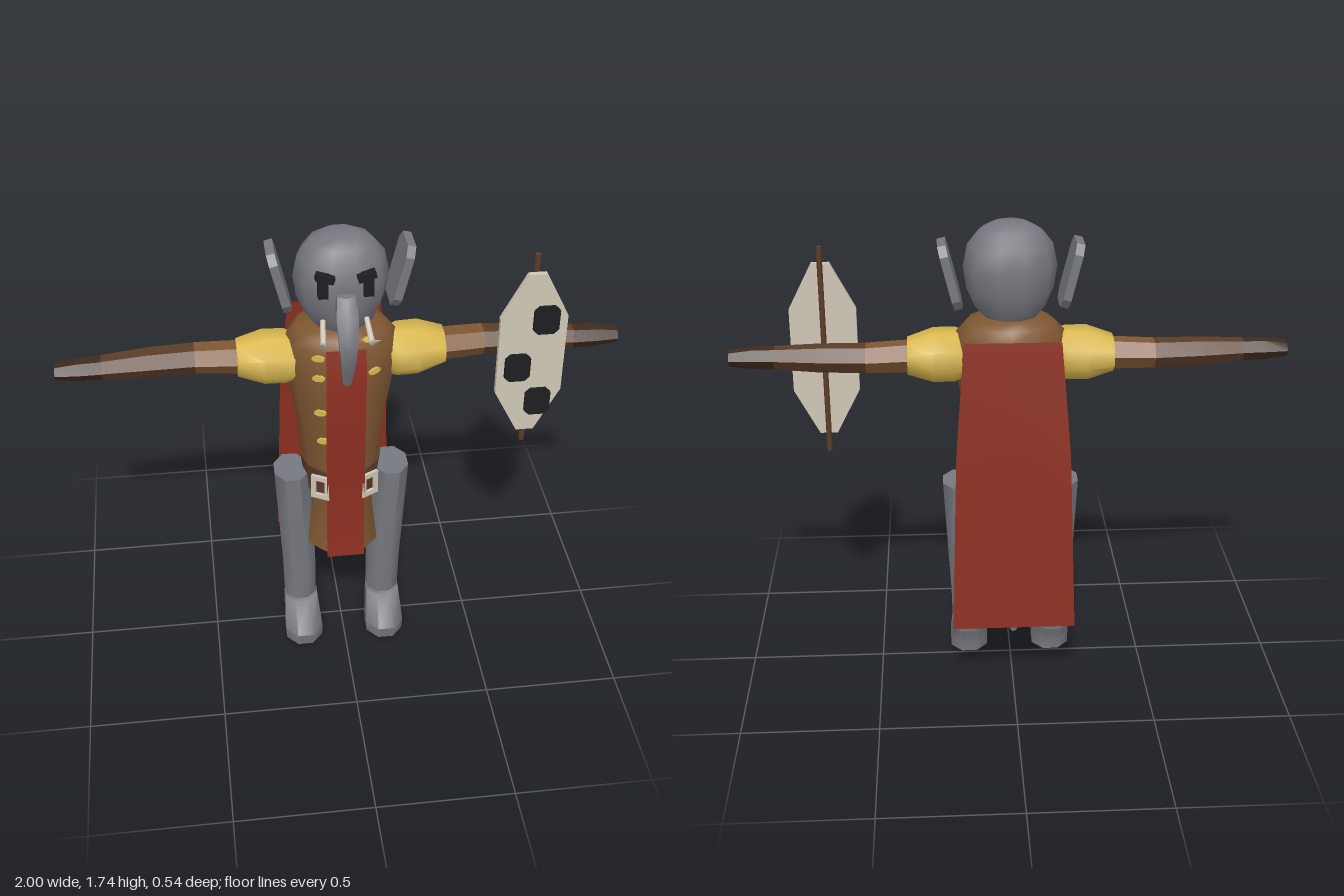
import * as THREE from 'three';
import { toCreasedNormals } from 'three/addons/utils/BufferGeometryUtils.js';

const mat = (name, color, side = THREE.FrontSide) => {
  const m = new THREE.MeshStandardMaterial({ color, side });
  m.name = name;
  return m;
};

// Closed skin over elliptical rings [y, rx, rz, cx, cz], listed bottom to top
function loft(rings, n, turn = 0) {
  const pos = [], idx = [];
  for (const [y, rx, rz, cx = 0, cz = 0] of rings) {
    for (let j = 0; j < n; j++) {
      const a = ((j + turn) / n) * Math.PI * 2;
      pos.push(cx + rx * Math.cos(a), y, cz + rz * Math.sin(a));
    }
  }
  const last = (rings.length - 1) * n, c = rings.length * n;
  for (const [y, , , cx = 0, cz = 0] of [rings[0], rings[rings.length - 1]]) pos.push(cx, y, cz);
  for (let j = 0; j < n; j++) {
    const k = (j + 1) % n;
    for (let i = 0; i < last; i += n) {
      idx.push(i + j, i + n + j, i + k, i + k, i + n + j, i + n + k);
    }
    idx.push(c, j, k, c + 1, last + k, last + j);
  }
  const g = new THREE.BufferGeometry();
  g.setAttribute('position', new THREE.Float32BufferAttribute(pos, 3));
  g.setIndex(idx);
  return toCreasedNormals(g, 0.9);
}

// Hanging cloth from rows [y, halfWidth, z], top to bottom
function cloth(rows) {
  const pos = [], idx = [];
  rows.forEach(([y, w, z], i) => {
    pos.push(-w, y, z, w, y, z);
    if (i) idx.push(2 * i - 2, 2 * i, 2 * i - 1, 2 * i - 1, 2 * i, 2 * i + 1);
  });
  const g = new THREE.BufferGeometry();
  g.setAttribute('position', new THREE.Float32BufferAttribute(pos, 3));
  g.setIndex(idx);
  return toCreasedNormals(g, 0.9);
}

// Plate with cut corners, centred on the origin
function plate(w, h, cutX, cutY, depth) {
  const x = w / 2, y = h / 2;
  const pts = [[x - cutX, -y], [x, cutY - y], [x, y - cutY], [x - cutX, y],
    [cutX - x, y], [-x, y - cutY], [-x, cutY - y], [cutX - x, -y]];
  const s = new THREE.Shape(pts.map(p => new THREE.Vector2(...p)));
  return new THREE.ExtrudeGeometry(s, { depth, bevelEnabled: false }).translate(0, 0, -depth / 2);
}

export function createModel() {
  const root = new THREE.Group();
  root.name = 'elephantWarrior';
  const grey = mat('greySkin', 0x777980);
  const brown = mat('brownLeather', 0x805732);
  const darkBrown = mat('darkBrownLeather', 0x5c3d28);
  const glove = mat('gloveBrown', 0x3f2b1e);
  const yellow = mat('yellowCloth', 0xd9b74e);
  const red = mat('redCloth', 0x8c2f20, THREE.DoubleSide);
  const bone = mat('boneWhite', 0xcfc7b6);
  const black = mat('black', 0x1e1e20);
  const add = (name, geo, m, x = 0, y = 0, z = 0) => {
    const mesh = new THREE.Mesh(geo, m);
    mesh.name = name;
    mesh.position.set(x, y, z);
    root.add(mesh);
    return mesh;
  };

  // Tunic, belt and cloths
  add('tunic', loft([
    [0.44, 0.147, 0.151, 0, -0.004], [0.62, 0.12, 0.136, 0, -0.005], [0.8, 0.142, 0.139, 0, -0.003],
    [1.0, 0.164, 0.152, 0, -0.003], [1.15, 0.188, 0.163, 0, -0.003], [1.25, 0.2, 0.168, 0, -0.004],
    [1.34, 0.197, 0.158, 0, -0.007], [1.38, 0.16, 0.14, 0, -0.007], [1.405, 0.1, 0.11, 0, -0.005],
  ], 12), brown);
  add('belt', loft([
    [0.69, 0.136, 0.143, 0, -0.004], [0.75, 0.143, 0.146, 0, -0.004], [0.815, 0.15, 0.146, 0, -0.003],
  ], 12), darkBrown);
  add('tabard', cloth([[1.36, 0.07, 0.152], [1.25, 0.07, 0.173], [1.0, 0.07, 0.158],
    [0.8, 0.07, 0.152], [0.62, 0.07, 0.142], [0.44, 0.07, 0.16]]), red);
  add('cape', cloth([[1.36, 0.17, -0.193], [0.95, 0.203, -0.237], [0.27, 0.225, -0.27]]), red);

  // Fasteners on the tunic
  for (const [x, y, z] of [[-0.095, 1.325, 0.138], [-0.095, 1.25, 0.148], [-0.09, 1.1, 0.143],
    [-0.08, 0.97, 0.135], [0.1, 1.265, 0.146], [0.08, 1.38, 0.124]]) {
    add('fastener', plate(0.045, 0.022, 0.012, 0.007, 0.009), yellow, x, y, z)
      .rotation.set(y > 1.35 ? -0.9 : 0, Math.sign(x) * 0.45, 0.12);
  }

  // Head, trunk and tail
  add('head', loft([
    [1.39, 0.09, 0.09], [1.43, 0.125, 0.118], [1.5, 0.155, 0.138], [1.58, 0.166, 0.146],
    [1.66, 0.15, 0.135], [1.71, 0.11, 0.098], [1.735, 0.06, 0.055],
  ], 10), grey);
  add('trunk', loft([
    [1.24, 0.016, 0.012, 0, 0.178], [1.3, 0.024, 0.021, 0, 0.195], [1.37, 0.031, 0.027, 0, 0.215],
    [1.43, 0.037, 0.03, 0, 0.213], [1.51, 0.044, 0.035, 0, 0.175], [1.575, 0.036, 0.03, 0, 0.14],
  ], 6, 0.5), grey);
  add('tail', loft([
    [0.24, 0.012, 0.012, 0, -0.234], [0.3, 0.02, 0.02, 0, -0.235], [0.395, 0.017, 0.017, 0, -0.232],
    [0.41, 0.009, 0.009, 0, -0.228], [0.75, 0.009, 0.009, 0, -0.15],
  ], 6), grey);

  for (const s of [-1, 1]) {
    // Face details
    add('ear', plate(0.155, 0.235, 0.025, 0.035, 0.03).rotateY(-Math.PI / 2), grey, s * 0.212, 1.562, -0.032)
      .rotation.z = -s * 0.24;
    add('eye', new THREE.BoxGeometry(0.034, 0.075, 0.03), black, s * 0.077, 1.605, 0.136);
    add('eyebrow', new THREE.BoxGeometry(0.064, 0.024, 0.03), black, s * 0.07, 1.642, 0.14)
      .rotation.z = s * 0.32;
    const bend = new THREE.Vector3(s * 0.083, 1.41, 0.19);
    for (const [end, r] of [[[s * 0.075, 1.46, 0.11], 0.01], [[s * 0.1, 1.467, 0.268], 0.001]]) {
      const dir = new THREE.Vector3(...end).sub(bend);
      const tusk = add('tusk', new THREE.CylinderGeometry(r, 0.011, dir.length(), 6), bone);
      tusk.position.copy(bend).addScaledVector(dir, 0.5);
      tusk.quaternion.setFromUnitVectors(new THREE.Vector3(0, 1, 0), dir.normalize());
    }

    // Arm pieces, lofted along y then laid out sideways
    const limb = (name, rings, n, m) => add(name, loft(rings, n, 0.5).rotateZ(-s * Math.PI / 2), m, 0, 1.255, 0);
    limb('sleeve', [[0.16, 0.085, 0.085], [0.2, 0.098, 0.1, 0, -0.004], [0.275, 0.098, 0.104, 0, -0.008],
      [0.368, 0.066, 0.082, 0, -0.013]], 8, yellow);
    limb('upperArm', [[0.35, 0.06, 0.06, 0, -0.015], [0.515, 0.054, 0.06, 0, -0.028]], 6, brown);
    limb('forearm', [[0.515, 0.054, 0.058, 0, -0.028], [0.68, 0.052, 0.054, 0, -0.02],
      [0.84, 0.042, 0.045, 0, -0.008]], 6, darkBrown);
    limb('hand', [[0.84, 0.042, 0.046, 0, -0.007], [0.92, 0.04, 0.044, 0, -0.005],
      [1.0, 0.028, 0.038, 0, -0.004]], 6, glove);

    // Leg and foot
    add('leg', loft([
      [0.13, 0.065, 0.064, s * 0.163, -0.003], [0.3, 0.067, 0.069, s * 0.165, -0.003],
      [0.5, 0.07, 0.078, s * 0.173, -0.002], [0.757, 0.069, 0.09, s * 0.187, -0.002],
    ], 8, 0.5), grey);
    add('foot', loft([
      [0, 0.076, 0.086, s * 0.16, 0.088], [0.05, 0.078, 0.09, s * 0.16, 0.092],
      [0.145, 0.069, 0.06, s * 0.162, 0.018],
    ], 8, 0.5), grey);

    // Buckle frame beside the tabard
    const frame = new THREE.Shape([[-0.035, -0.05], [0.035, -0.05], [0.035, 0.05], [-0.035, 0.05]]
      .map(p => new THREE.Vector2(...p)));
    frame.holes.push(new THREE.Path([[-0.018, -0.03], [-0.018, 0.03], [0.018, 0.03], [0.018, -0.03]]
      .map(p => new THREE.Vector2(...p))));
    add('buckle', new THREE.ExtrudeGeometry(frame, { depth: 0.012, bevelEnabled: false }), bone,
      s * 0.088, 0.755, 0.124).rotation.y = s * 0.5;
  }

  // Shield on its pole, with three dark spots
  add('shield', plate(0.24, 0.65, 0.088, 0.17, 0.02), bone, 0.668, 1.25, 0.081);
  add('shieldPole', new THREE.CylinderGeometry(0.011, 0.011, 0.78, 6), darkBrown, 0.668, 1.25, 0.061);
  for (const [x, y] of [[0.71, 1.395], [0.62, 1.203], [0.703, 1.053]]) {
    add('shieldSpot', plate(0.092, 0.11, 0.018, 0.018, 0.014), black, x, y, 0.097);
  }
  return root;
}
